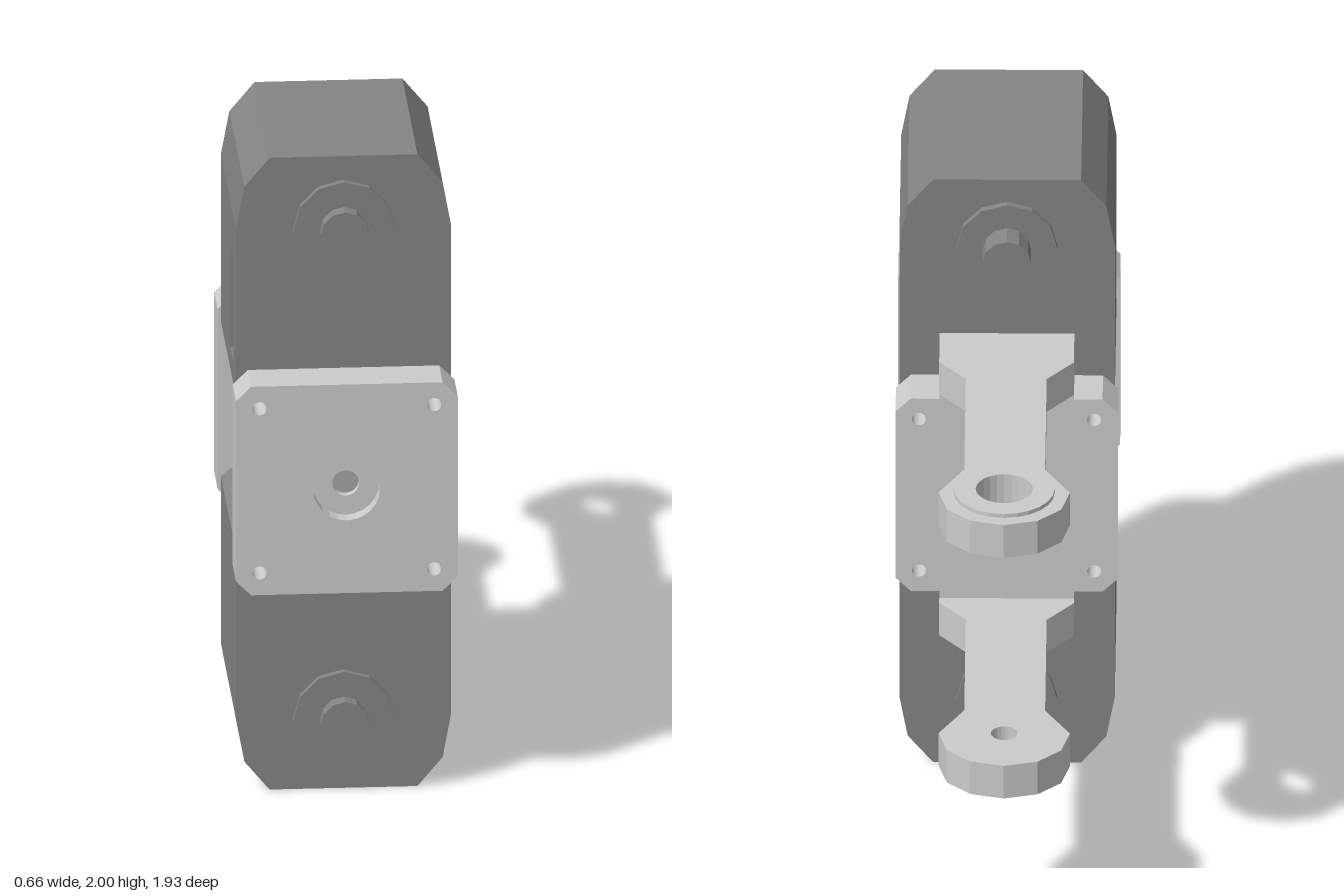
import * as THREE from 'three';

const light = new THREE.MeshStandardMaterial({ color: 0xcccccc, flatShading: true });
const dark = new THREE.MeshStandardMaterial({ color: 0x858585, flatShading: true });

function add(parent, name, geometry, material) {
  const mesh = new THREE.Mesh(geometry, material);
  mesh.name = name;
  parent.add(mesh);
  return mesh;
}

const polygon = (pts) => new THREE.Shape(pts.map(([x, y]) => new THREE.Vector2(x, y)));
const rect = (x0, x1, y0, y1) => polygon([[x0, y0], [x1, y0], [x1, y1], [x0, y1]]);
const circle = (x, y, r) => new THREE.Path().absarc(x, y, r, 0, Math.PI * 2, false);

function extrude(shape, depth, holes = []) {
  shape.holes.push(...holes);
  return new THREE.ExtrudeGeometry(shape, { depth, bevelEnabled: false, curveSegments: 12 });
}

// Motor standing on y = 0, with its socket on the +x side
function createMotor(name) {
  const motor = new THREE.Group();
  motor.name = name;
  const z0 = 0.17, length = 0.65;

  // Body profile, notched on +x where the socket panels sit
  const body = polygon([
    [-0.22, 0], [0.22, 0], [0.295, 0.09], [0.32, 0.225],
    [0.32, 0.3], [0.24, 0.3], [0.24, 0.72], [0.32, 0.72],
    [0.32, 0.755], [0.27, 0.8], [-0.27, 0.8], [-0.32, 0.755],
    [-0.32, 0.225], [-0.295, 0.09],
  ]);
  add(motor, 'motorBody', extrude(body, length), dark).position.z = z0;

  // Side panels: outer one has the frame recess, inner one the two pockets
  const panel = (label, x, depth, holes) => {
    const shape = rect(-z0 - length, -z0, 0.3, 0.72);
    const geo = extrude(shape, depth, holes).rotateY(Math.PI / 2);
    add(motor, label, geo, dark).position.x = x;
  };
  panel('socketFrame', 0.3, 0.02, [rect(-0.72, -0.58, 0.36, 0.685)]);
  panel('socketPockets', 0.24, 0.06, [
    rect(-0.685, -0.605, 0.385, 0.51),
    rect(-0.685, -0.605, 0.535, 0.66),
  ]);

  // Collars and shaft ends on both faces
  const disc = (label, r, from, to) => {
    const geo = new THREE.CylinderGeometry(r, r, to - from, 12).rotateX(Math.PI / 2);
    add(motor, label, geo, dark).position.set(0, 0.225, (from + to) / 2);
  };
  disc('shaftCollars', 0.15, 0.148, 0.842);
  disc('shaft', 0.072, 0.065, 0.89);
  return motor;
}

// Square mounting plate: round counterbore in front, square recess behind
function createPlate(name, z) {
  const plate = new THREE.Group();
  plate.name = name;
  plate.position.set(0, 1, z);
  const a = 0.33, c = 0.285;
  const layers = [
    ['recessLayer', 0, 0.07, () => rect(-0.105, 0.105, -0.105, 0.105)],
    ['webLayer', 0.07, 0.025, () => circle(0, 0, 0.04)],
    ['counterboreLayer', 0.095, 0.05, () => circle(0, 0, 0.1)],
  ];
  for (const [label, from, depth, centre] of layers) {
    const shape = polygon([[-c, -a], [c, -a], [a, -c], [a, c], [c, a], [-c, a], [-a, c], [-a, -c]]);
    const holes = [centre()];
    for (const sx of [-1, 1]) for (const sy of [-1, 1]) holes.push(circle(sx * 0.26, sy * 0.26, 0.021));
    add(plate, label, extrude(shape, depth, holes), light).position.z = from;
  }
  return plate;
}

// Horizontal arm with a rounded eye, and a thin boss around the eye
function createArm(name, top, holeRadius, bossRadius, bossTop, bossDepth) {
  const arm = new THREE.Group();
  arm.name = name;
  const side = [[0.2, 0.172], [0.2, 0], [0.12, -0.1], [0.12, -0.635],
    [0.195, -0.77], [0.17, -0.87], [0.1, -0.937]];
  const outline = [...side, [0, -0.963], ...side.map(([x, z]) => [-x, z]).reverse()];
  const geo = extrude(polygon(outline), 0.112, [circle(0, -0.77, holeRadius)]).rotateX(Math.PI / 2);
  add(arm, 'armBar', geo, light).position.y = top;

  const ring = new THREE.Shape().absarc(0, -0.77, bossRadius, 0, Math.PI * 2, false);
  const boss = extrude(ring, bossDepth, [circle(0, -0.77, holeRadius)]).rotateX(Math.PI / 2);
  add(arm, 'eyeBoss', boss, light).position.y = bossTop;
  return arm;
}

export function createModel() {
  const model = new THREE.Group();
  model.name = 'twinMotorJoint';

  // Two motors, the upper one turned half round
  model.add(createMotor('lowerMotor'));
  const upper = createMotor('upperMotor');
  upper.rotation.z = Math.PI;
  upper.position.y = 2;
  model.add(upper);

  // Plates clamping the motors
  model.add(createPlate('frontPlate', 0.82), createPlate('backPlate', 0.027));

  // Fork arms, joined to the back plate by short necks
  model.add(createArm('upperArm', 1.473, 0.085, 0.15, 1.486, 0.013));
  model.add(createArm('lowerArm', 0.646, 0.04, 0.098, 0.534, 0.013));
  for (const y of [0.657, 1.345]) {
    add(model, 'armNeck', new THREE.BoxGeometry(0.4, 0.034, 0.143), light).position.set(0, y, 0.0985);
  }
  return model;
}
